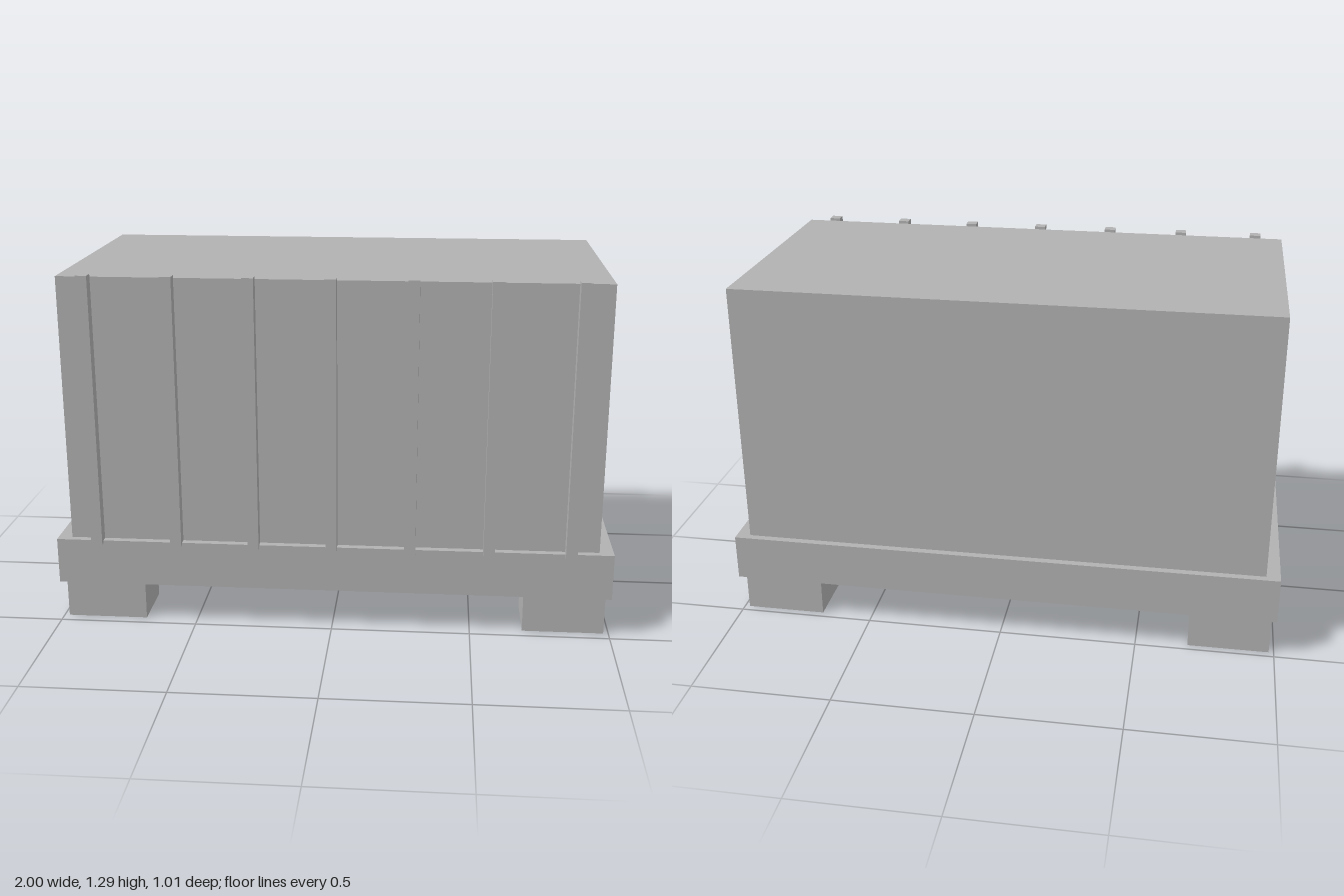
import * as THREE from 'three';

export function createModel() {
  const model = new THREE.Group();
  model.name = 'ribbedCrate';
  const grey = new THREE.MeshStandardMaterial({ color: 0xb2b2b2 });
  grey.name = 'grey';

  // Box given by its lower and upper corners
  function addBox(name, [x0, y0, z0], [x1, y1, z1]) {
    const mesh = new THREE.Mesh(new THREE.BoxGeometry(x1 - x0, y1 - y0, z1 - z0), grey);
    mesh.position.set((x0 + x1) / 2, (y0 + y1) / 2, (z0 + z1) / 2);
    mesh.name = name;
    model.add(mesh);
  }

  // Base slab and main body
  addBox('base', [-1, 0.148, -0.505], [1, 0.316, 0.49]);
  addBox('body', [-0.95, 0.316, -0.479], [0.95, 1.277, 0.465]);

  // Four block feet
  for (const [side, x0, x1] of [['Right', -0.982, -0.69], ['Left', 0.69, 0.982]]) {
    addBox('front' + side + 'Foot', [x0, 0, 0.254], [x1, 0.148, 0.46]);
    addBox('back' + side + 'Foot', [x0, 0, -0.474], [x1, 0.148, -0.269]);
  }

  // Vertical ribs on the front face, standing slightly proud of the top
  [-0.849, -0.56, -0.28, 0, 0.28, 0.56, 0.849].forEach((x, i) =>
    addBox('rib' + (i + 1), [x - 0.02, 0.305, 0.465], [x + 0.02, 1.287, 0.505]));

  return model;
}
